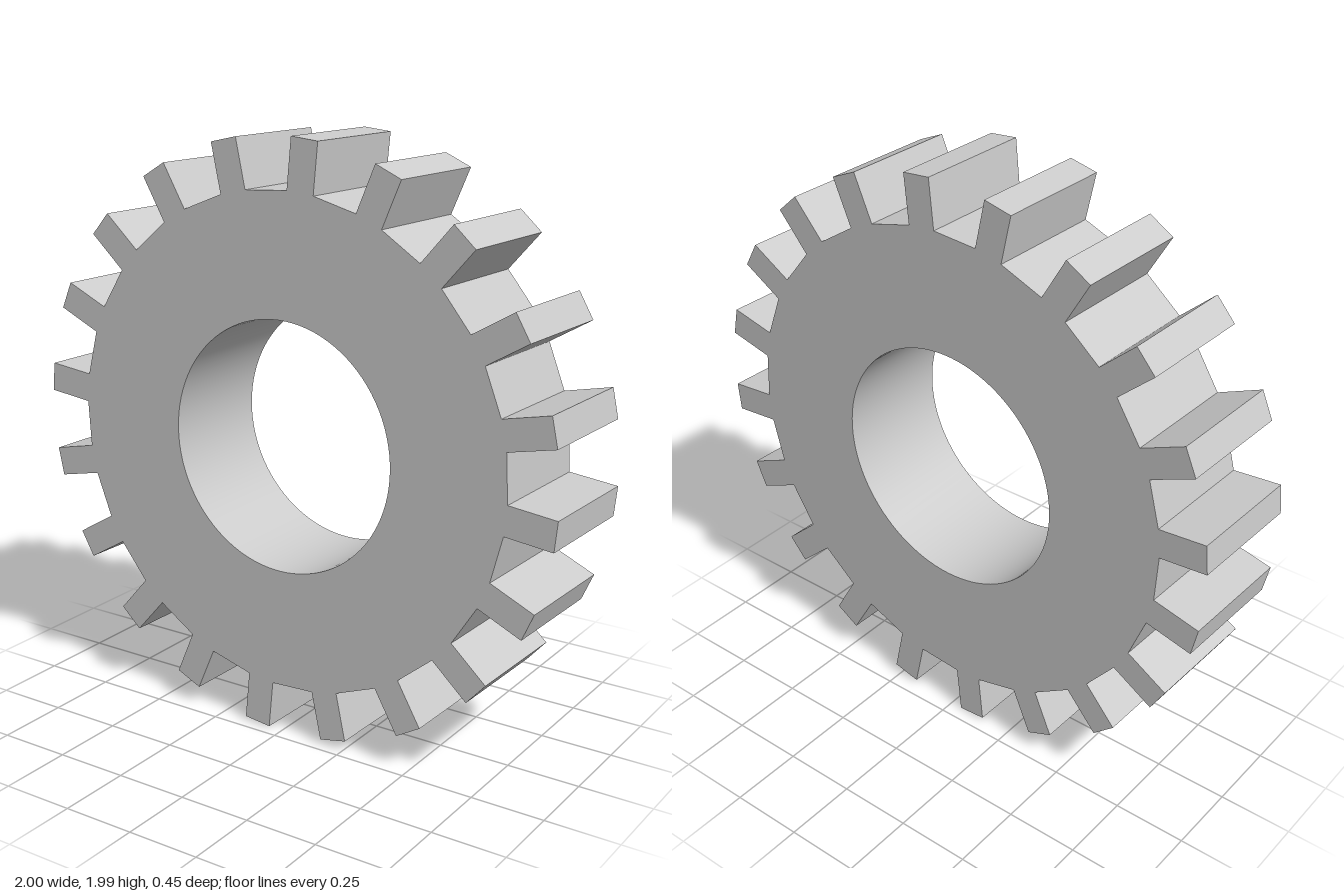
import * as THREE from 'three';
import { toCreasedNormals } from 'three/addons/utils/BufferGeometryUtils.js';

const TEETH = 20;
const TIP = 0.9955;      // distance to the flat tooth tips
const ROOT = 0.829;      // distance to the tooth roots
const HALF_TOOTH = 0.05; // half the tooth width
const BORE = 0.421;
const DEPTH = 0.408;
const PHASE = THREE.MathUtils.degToRad(5.6); // first tooth, clockwise from the top

export function createModel() {
  const group = new THREE.Group();

  // outline: parallel-sided teeth joined by straight root edges
  const points = [];
  for (let i = 0; i < TEETH; i++) {
    const angle = Math.PI / 2 - PHASE + (i / TEETH) * Math.PI * 2;
    const tooth = [[ROOT, -HALF_TOOTH], [TIP, -HALF_TOOTH], [TIP, HALF_TOOTH], [ROOT, HALF_TOOTH]];
    for (const [r, w] of tooth) {
      points.push(new THREE.Vector2(r, w).rotateAround(new THREE.Vector2(), angle));
    }
  }
  const shape = new THREE.Shape(points);

  // round bore
  const bore = new THREE.Path();
  bore.absarc(0, 0, BORE, 0, Math.PI * 2, true);
  shape.holes.push(bore);

  // smooth bore wall, sharp teeth
  const extruded = new THREE.ExtrudeGeometry(shape, { depth: DEPTH, bevelEnabled: false, curveSegments: 48 });
  extruded.translate(0, 0, -DEPTH / 2);
  const gear = new THREE.Mesh(
    toCreasedNormals(extruded, 0.5),
    new THREE.MeshStandardMaterial({ color: 0xcccccc })
  );
  gear.name = 'gearWheel';

  // the wheel stands very slightly askew
  gear.rotation.set(-0.005, -0.021, 0);
  gear.position.y = 0.999;
  group.add(gear);
  return group;
}
